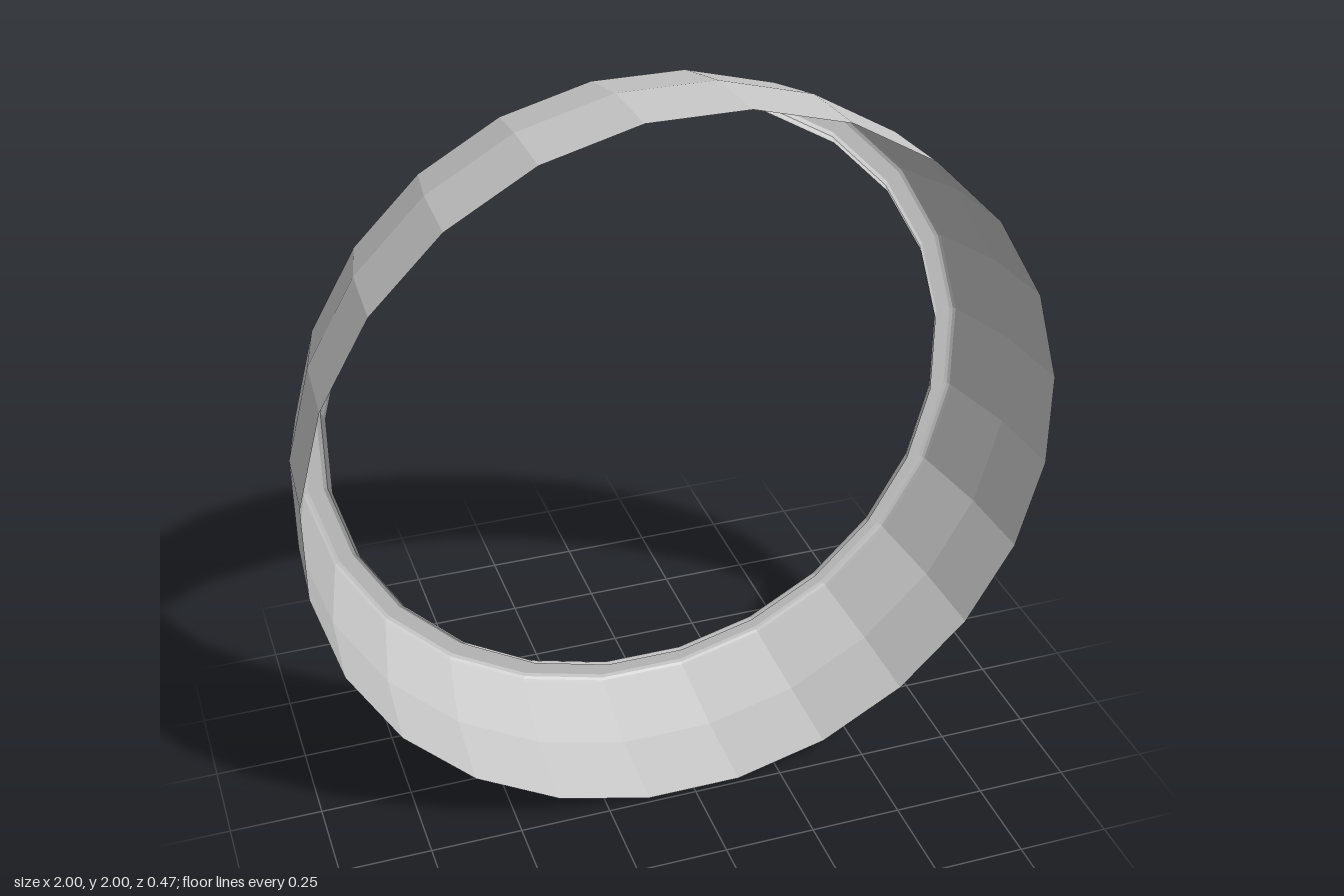
import * as THREE from 'three';

const SIDES = 24;

// Thin ring swept round the z axis; profile points are [distance to flat, z]
function ring(name, profile) {
  const toCorner = 1 / Math.cos(Math.PI / SIDES);
  const points = profile.map(([r, z]) => new THREE.Vector2(r * toCorner, z));
  const geometry = new THREE.LatheGeometry(points, SIDES, Math.PI / SIDES);
  geometry.rotateX(Math.PI / 2);
  const material = new THREE.MeshStandardMaterial({
    color: 0xcccccc, flatShading: true, side: THREE.DoubleSide,
  });
  const mesh = new THREE.Mesh(geometry, material);
  mesh.name = name;
  mesh.position.y = 1;
  return mesh;
}

export function createModel() {
  const group = new THREE.Group();
  group.name = 'taperedRing';

  // Rolled lip: short forward return, flat back face, rounded outer edge
  group.add(ring('backLip', [
    [0.858, -0.2], [0.86, -0.215], [0.866, -0.228], [0.876, -0.234],
    [0.915, -0.234], [0.924, -0.231], [0.93, -0.225], [0.933, -0.215],
  ]));

  // Open outer band, tapering towards the back
  group.add(ring('outerBand', [[0.933, -0.215], [0.985, 0], [1, 0.234]]));

  return group;
}
